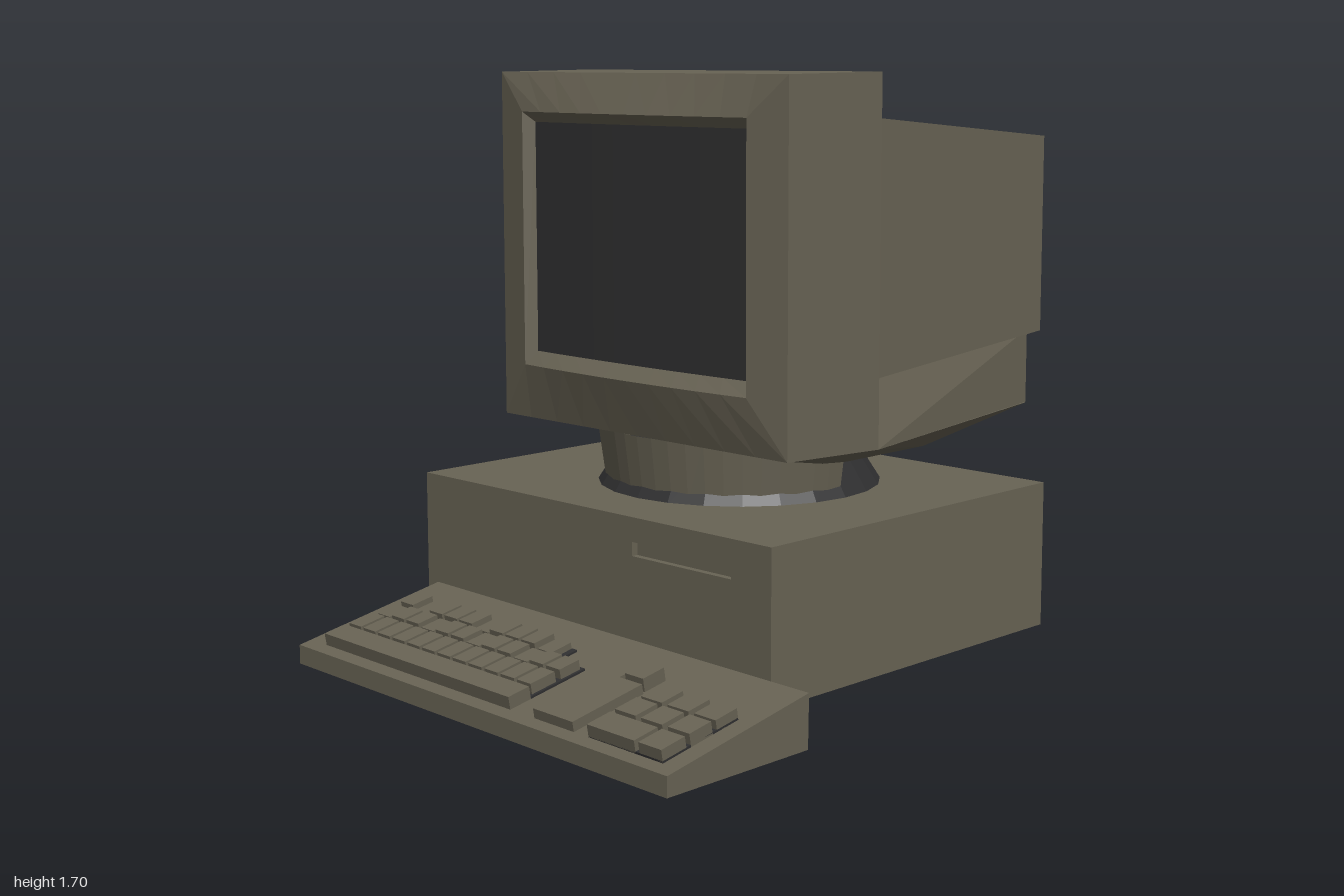
import * as THREE from 'three';

const casing = new THREE.MeshStandardMaterial({ color: 0x686354, flatShading: true, side: THREE.DoubleSide });
casing.name = 'olive casing';
const dark = new THREE.MeshStandardMaterial({ color: 0x303031, flatShading: true, side: THREE.DoubleSide });
dark.name = 'dark plastic';

const CZ = -0.075; // centre line of the monitor

function add(parent, name, geometry, material) {
  const mesh = new THREE.Mesh(geometry, material);
  mesh.name = name;
  parent.add(mesh);
  return mesh;
}

// Box given by its limits
function box(x0, x1, y0, y1, z0, z1) {
  return new THREE.BoxGeometry(x1 - x0, y1 - y0, z1 - z0)
    .translate((x0 + x1) / 2, (y0 + y1) / 2, (z0 + z1) / 2);
}

// Skin over rows of points; cap closes the last row to its centre
function loft(rows, closed = true, cap = false) {
  if (cap) {
    const last = rows[rows.length - 1];
    const mid = [0, 1, 2].map(k => last.reduce((s, p) => s + p[k], 0) / last.length);
    rows = [...rows, last.map(() => mid)];
  }
  const pos = [];
  for (let i = 0; i < rows.length - 1; i++) {
    const n = rows[i].length;
    for (let j = 0; j < (closed ? n : n - 1); j++) {
      const k = (j + 1) % n;
      const a = rows[i][j], b = rows[i][k], c = rows[i + 1][k], d = rows[i + 1][j];
      pos.push(...a, ...c, ...b, ...a, ...d, ...c);
    }
  }
  const g = new THREE.BufferGeometry();
  g.setAttribute('position', new THREE.Float32BufferAttribute(pos, 3));
  g.computeVertexNormals();
  return g;
}

// Horizontal edge across the monitor, bowed from xSide to xMid
function edge(xSide, xMid, y, h, n = 10) {
  return Array.from({ length: n + 1 }, (_, i) => {
    const t = -1 + 2 * i / n;
    return [xMid + (xSide - xMid) * t * t, y, CZ + h * t];
  });
}
const frame = (xSide, xMid, y0, y1, h) =>
  [...edge(xSide, xMid, y0, h), ...edge(xSide, xMid, y1, h).reverse()];

// Four-cornered section at x, with separate lower and upper half widths
const section = (x, y0, y1, h0, h1) =>
  [[x, y0, CZ - h0], [x, y0, CZ + h0], [x, y1, CZ + h1], [x, y1, CZ - h1]];

function buildMonitor() {
  const g = new THREE.Group();
  g.name = 'monitor';
  add(g, 'bezel', loft([
    frame(-0.25, -0.262, 0.87, 1.55, 0.43),
    frame(-0.28, -0.3, 0.83, 1.58, 0.455),
    frame(-0.25, -0.25, 0.665, 1.695, 0.58),
    frame(0.11, 0.11, 0.655, 1.7, 0.595),
    frame(0.13, 0.13, 0.84, 1.575, 0.54),
  ]), casing);
  add(g, 'screen', loft([edge(-0.25, -0.262, 1.55, 0.43), edge(-0.25, -0.262, 0.87, 0.43)], false), dark);
  add(g, 'rearShell', loft([
    section(0.13, 0.84, 1.575, 0.54, 0.54),
    section(1, 0.9, 1.5, 0.495, 0.495),
  ], true, true), casing);
  add(g, 'lowerShell', loft([
    section(0.11, 0.655, 0.845, 0.595, 0.54),
    section(1, 0.67, 0.9, 0.445, 0.445),
  ], true, true), casing);

  // Tapered underside
  const ring = (y, pts) => [...pts.map(([x, h]) => [x, y(x), CZ + h]),
    ...pts.slice().reverse().map(([x, h]) => [x, y(x), CZ - h])];
  add(g, 'underside', loft([
    ring(x => (x > 0 && x < 0.5 ? 0.655 : 0.668), [[-0.25, 0.58], [0.11, 0.595], [1, 0.445]]),
    ring(() => 0.59, [[0.1, 0.4], [0.17, 0.425], [0.52, 0.425]]),
  ], true, true), casing);
  add(g, 'swivelPatch', new THREE.CircleGeometry(0.32, 24, -Math.PI / 2, Math.PI)
    .rotateX(Math.PI / 2).rotateZ(0.165).translate(0.522, 0.587, CZ), dark);

  // Swivel foot with the curved chin in front of it
  add(g, 'swivelFoot', new THREE.CylinderGeometry(0.355, 0.425, 0.11, 24)
    .translate(0.17, 0.538, CZ), dark);
  add(g, 'chin', new THREE.CylinderGeometry(0.425, 0.4, 0.18, 24, 1, true, Math.PI, Math.PI)
    .translate(0.17, 0.575, CZ), casing);
  return g;
}

function buildSystemUnit() {
  const g = new THREE.Group();
  g.name = 'systemUnit';
  add(g, 'case', box(-0.42, 0.75, 0.05, 0.485, -0.81, 0.625), casing);

  // Front panel with the disk slot cut through
  const rect = (C, a0, a1, b0, b1) => {
    const s = new C();
    s.moveTo(a0, b0); s.lineTo(a1, b0); s.lineTo(a1, b1); s.lineTo(a0, b1); s.closePath();
    return s;
  };
  const panel = rect(THREE.Shape, -0.81, 0.625, 0.05, 0.485);
  panel.holes.push(rect(THREE.Path, 0.1, 0.48, 0.375, 0.415));
  add(g, 'frontPanel', new THREE.ExtrudeGeometry(panel, { depth: 0.02, bevelEnabled: false })
    .rotateY(-Math.PI / 2).translate(-0.42, 0, 0), casing);
  return g;
}

function buildKeyboard() {
  const g = new THREE.Group();
  g.name = 'keyboard';
  const LEN = 1.5;
  const profile = new THREE.Shape([[-1, 0], [-0.5, 0], [-0.5, 0.15], [-1, 0.055]]
    .map(p => new THREE.Vector2(...p)));
  add(g, 'keyboardBody', new THREE.ExtrudeGeometry(profile, { depth: LEN, bevelEnabled: false })
    .translate(0, 0, -LEN), casing);

  // Keys lie on the sloping top; z is given in model space
  const keys = new THREE.Group();
  keys.name = 'keys';
  keys.position.set(-1, 0.055, -0.81);
  keys.rotation.z = Math.atan2(0.095, 0.5);
  g.add(keys);
  const k = 1 / Math.cos(keys.rotation.z);
  const key = (name, x0, x1, z0, z1, h = 0.036, m = casing) =>
    add(keys, name, box((x0 + 1) * k, (x1 + 1) * k, -0.002, h, z0, z1), m);

  key('mainKeyBed', -0.89, -0.7, -0.615, 0.19, 0.006, dark);
  key('upperKeyBed', -0.7, -0.63, -0.615, 0.08, 0.006, dark);
  key('spaceBar', -0.96, -0.89, -0.615, 0.19);
  for (let i = 0; i < 12; i++) {
    const z = -0.61 + i * 0.067;
    key('lowerRowKey', -0.878, -0.795, z, z + 0.055);
    key('middleRowKey', -0.778, -0.71, z, z + 0.055, i % 3 ? 0.034 : 0.026);
    if (i < 10) key('upperRowKey', -0.703, -0.632, z + 0.012, z + 0.068, i % 4 === 1 ? 0.024 : 0.036);
  }

  // Cursor block
  key('cursorBlock', -0.96, -0.72, 0.285, 0.435, 0.028);
  key('cursorBlockUpper', -0.72, -0.63, 0.285, 0.35, 0.028);
  key('cursorKey', -0.71, -0.635, 0.362, 0.43, 0.038);

  // Number pad
  key('padBed', -0.96, -0.7, 0.49, 0.755, 0.006, dark);
  key('padWideKey', -0.96, -0.88, 0.49, 0.66);
  key('padEnterKey', -0.96, -0.88, 0.675, 0.755);
  for (const z of [0.49, 0.585, 0.68]) {
    key('padKey', -0.865, -0.79, z, z + 0.075);
    key('padKey', -0.775, -0.7, z, z + 0.075, 0.032);
  }

  g.position.z = 0.81;
  g.rotation.x = 0.0167;
  // Bring the keys back to model z inside the tilted group
  return g;
}

export function createModel() {
  const model = new THREE.Group();
  model.name = 'desktopComputer';
  model.add(buildMonitor(), buildSystemUnit(), buildKeyboard());
  return model;
}
